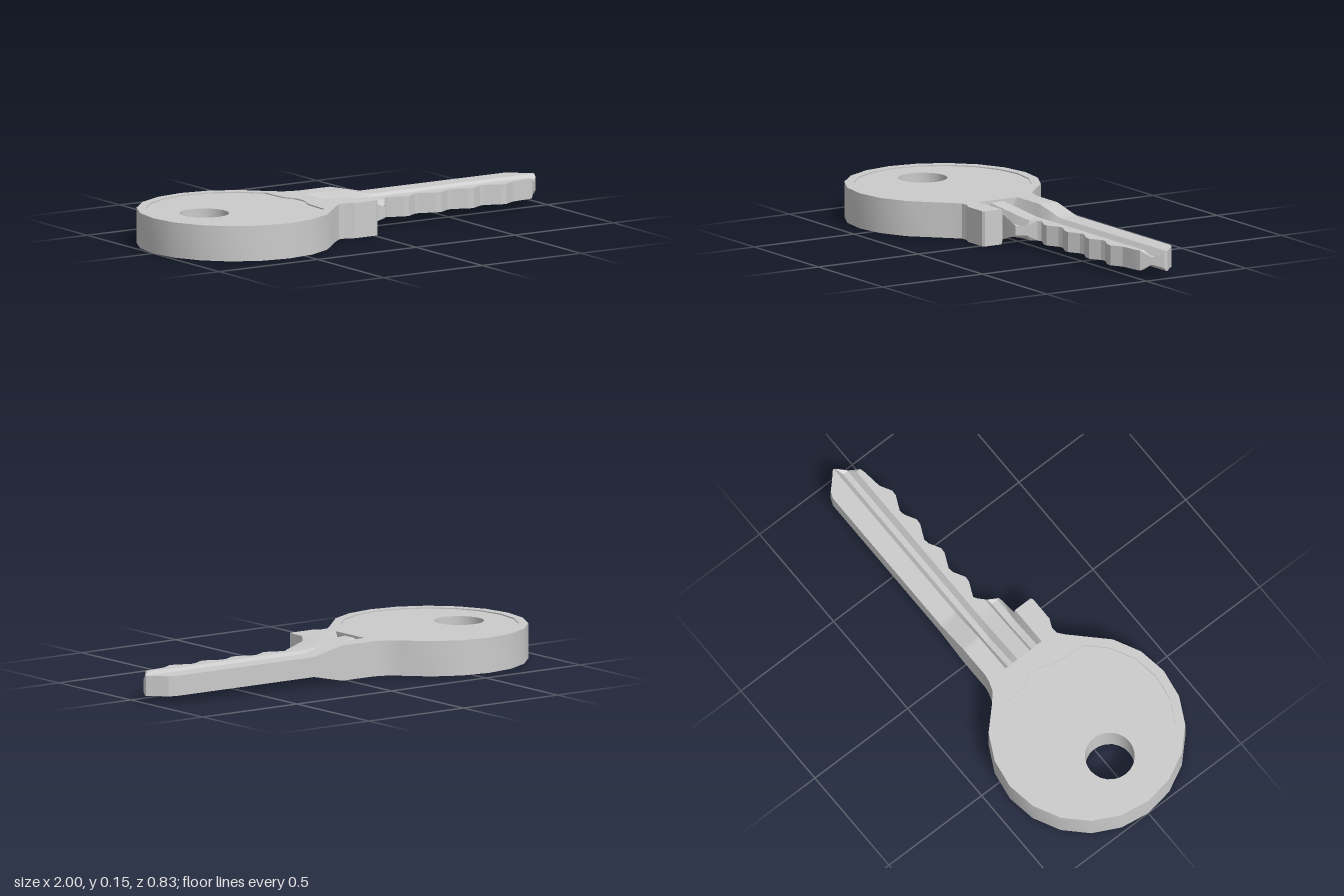
import * as THREE from 'three';
import { toCreasedNormals } from 'three/addons/utils/BufferGeometryUtils.js';

const MID = 0.0755; // mid-plane height of the key
const BOW_X = -0.585;
const material = new THREE.MeshStandardMaterial({ color: 0xcccccc });

const ramp = (x, x0, x1, a, b) => THREE.MathUtils.mapLinear(THREE.MathUtils.clamp(x, x0, x1), x0, x1, a, b);

// Points of an arc seen from above, angles in degrees
function arc(cx, r, from, to, step) {
  const pts = [];
  for (let a = from; a <= to; a += step) {
    const t = THREE.MathUtils.degToRad(a);
    pts.push([cx + r * Math.cos(t), -r * Math.sin(t)]);
  }
  return pts;
}

// Lists of [x, z] become shape points (shape y = -z)
const toVectors = (pts) => pts.map(([x, z]) => new THREE.Vector2(x, -z));

// Flat plate between two heights, with one hole
function plate(name, outline, hole, y0, y1) {
  const shape = new THREE.Shape(toVectors(outline));
  shape.holes.push(new THREE.Path(toVectors(hole)));
  const geo = new THREE.ExtrudeGeometry(shape, { depth: y1 - y0, bevelEnabled: false });
  geo.rotateX(-Math.PI / 2).translate(0, y0, 0);
  const mesh = new THREE.Mesh(toCreasedNormals(geo, 0.4), material);
  mesh.name = name;
  return mesh;
}

function createBow() {
  const bow = new THREE.Group();
  bow.name = 'bow';
  // Round head, neck and the stop tab at its front
  const outline = [
    ...arc(BOW_X, 0.415, 36, 324, 18),
    [-0.2, 0.195], [-0.17, 0.17], [-0.14, 0.167], [-0.1, 0.185], [0.01, 0.185], [0.02, 0.178],
    [0.02, 0.095], [-0.16, 0.095], [-0.16, -0.19], [-0.205, -0.205],
  ];
  const ringHole = arc(-0.74, 0.105, 0, 345, 15);
  // Shallow panel with a scalloped edge toward the blade
  const panel = [
    ...arc(BOW_X, 0.375, 36, 324, 18),
    [-0.275, 0.1], [-0.268, 0.07], [-0.25, 0.03], [-0.245, 0],
    [-0.25, -0.05], [-0.268, -0.08], [-0.275, -0.11],
  ];
  const depth = 0.005;
  bow.add(
    plate('bowCore', outline, ringHole, depth, 2 * MID - depth),
    plate('topRim', outline, panel, 2 * MID - depth, 2 * MID),
    plate('bottomRim', outline, panel, 0, depth),
  );
  return bow;
}

// Half thickness of the blade: two milled grooves that run out into the bow
function halfThickness(x, z) {
  const back = ramp(x, 0.02, 0.17, 0.0755, 0.043);
  const land = ramp(x, -0.16, 0.1, 0.066, 0.043);
  const groove = ramp(x, -0.16, 0.0, 0.035, 0.013);
  const edge = ramp(x, 0.02, 0.13, 0.0755, 0.022);
  const heights = [back, back, groove, groove, land, land, groove, groove, edge];
  let i = 0;
  while (i < KNOTS.length - 2 && z > KNOTS[i + 1]) i++;
  return ramp(z, KNOTS[i], KNOTS[i + 1], heights[i], heights[i + 1]);
}
const KNOTS = [-0.19, -0.1, -0.077, -0.052, -0.032, 0.033, 0.05, 0.08, 0.095];

function createBlade() {
  // Stations along the blade: x, back edge z, front edge z
  const stations = [
    [-0.16, -0.19, 0.095], [-0.13, -0.185, 0.095], [0, -0.185, 0.095], [0.02, -0.185, 0.095],
    [0.021, -0.185, 0.09], [0.1, -0.185, 0.09], [0.12, -0.185, 0.088], [0.145, -0.185, 0.045],
    [0.17, -0.185, 0.01],
  ];
  // Cuts of the bitting
  for (let i = 0; i < 4; i++) {
    const x = 0.185 + i * 0.165;
    stations.push([x, -0.185, 0.001], [x + 0.065, -0.185, 0.031], [x + 0.09, -0.185, 0.033], [x + 0.14, -0.185, 0.005]);
  }
  // Pointed tip
  stations.push([0.85, -0.185, 0.0], [0.9, -0.185, -0.005], [0.93, -0.172, -0.012], [0.965, -0.137, -0.05], [1, -0.105, -0.09]);

  // Closed cross-section: along the top, back along the underside
  const sections = stations.map(([x, z0, z1]) => {
    const zs = KNOTS.map((k) => THREE.MathUtils.clamp(k, z0, z1));
    zs[0] = z0;
    const top = zs.map((z) => [x, MID + halfThickness(x, z), z]);
    const bottom = zs.map((z) => [x, MID - halfThickness(x, z), z]).reverse();
    return [...top, ...bottom];
  });

  const pos = [];
  const quad = (a, b, c, d) => pos.push(...a, ...b, ...c, ...a, ...c, ...d);
  const n = KNOTS.length * 2;
  for (let s = 0; s < sections.length - 1; s++) {
    const a = sections[s], b = sections[s + 1];
    for (let i = 0; i < n; i++) {
      const j = (i + 1) % n;
      quad(a[i], a[j], b[j], b[i]);
    }
  }
  // End caps
  const first = sections[0], last = sections[sections.length - 1];
  for (let i = 0; i < KNOTS.length - 1; i++) {
    quad(last[i], last[i + 1], last[n - 2 - i], last[n - 1 - i]);
    quad(first[n - 1 - i], first[n - 2 - i], first[i + 1], first[i]);
  }
  const geo = new THREE.BufferGeometry();
  geo.setAttribute('position', new THREE.Float32BufferAttribute(pos, 3));
  geo.computeVertexNormals();
  const blade = new THREE.Mesh(toCreasedNormals(geo, 0.3), material);
  blade.name = 'blade';
  return blade;
}

export function createModel() {
  const key = new THREE.Group();
  key.name = 'key';
  key.add(createBow(), createBlade());
  return key;
}
